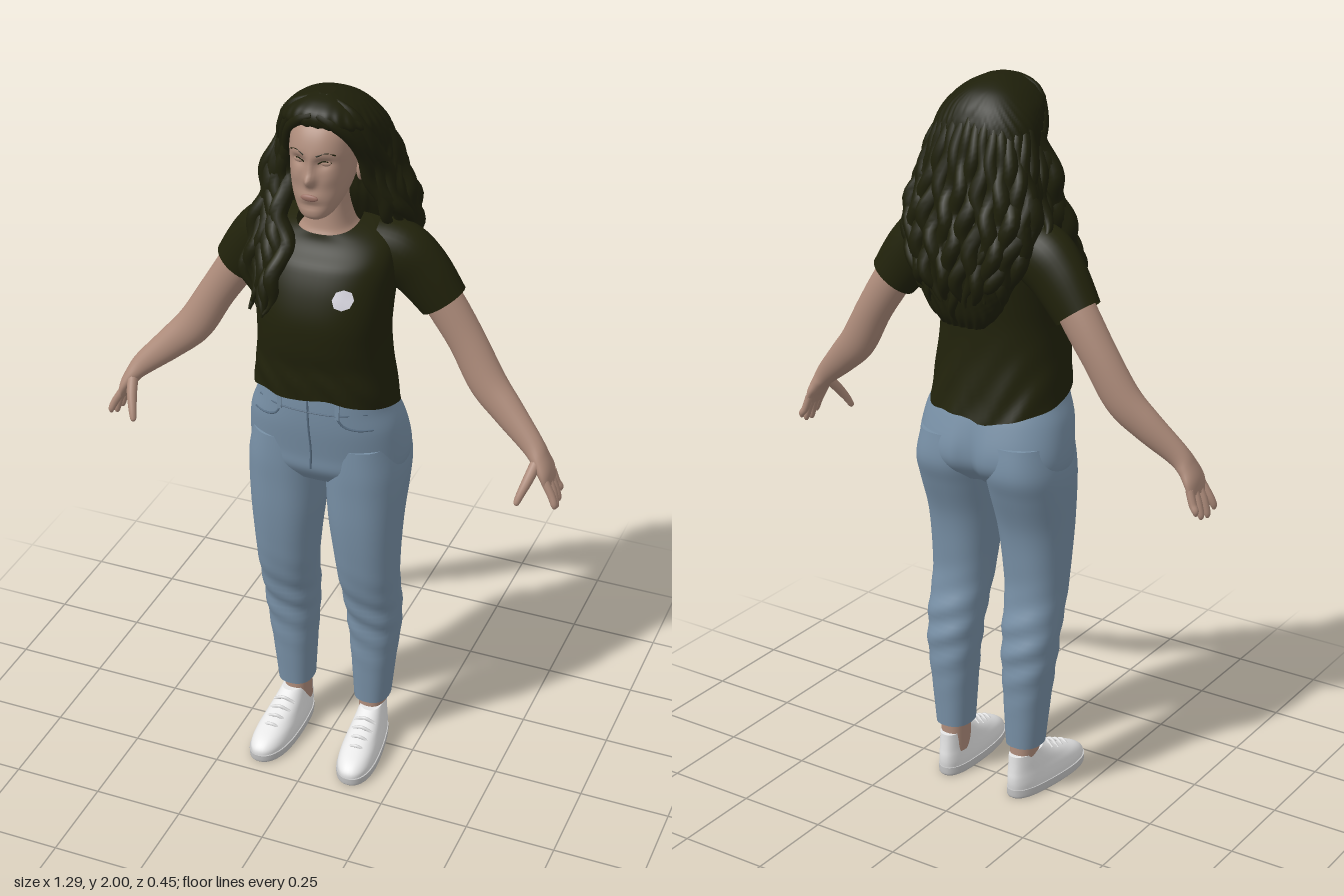
import * as THREE from 'three';

const mat = (name, color) => Object.assign(new THREE.MeshStandardMaterial({ color }), { name });
const M = {
  skin: mat('skin', 0xae8c7b), lips: mat('lips', 0x9a7064), hair: mat('hair', 0x1e1f0a),
  shirt: mat('shirt', 0x21220b), denim: mat('denim', 0x7890a6), seam: mat('denim seam', 0x596f84),
  shoe: mat('shoe white', 0xe6e6e6), sole: mat('sole', 0xc4c4c4), badge: mat('badge', 0xdcdae4),
};
const E = 0.85; // squareness of the body sections

// Catmull-Rom through every column of a row table
function dense(rows, k = 6) {
  const out = [], at = i => rows[Math.min(Math.max(i, 0), rows.length - 1)];
  for (let i = 0; i < rows.length - 1; i++)
    for (let j = 0; j < k; j++) {
      const t = j / k;
      out.push(rows[i].map((b, c) => {
        const a = at(i - 1)[c], d = at(i + 1)[c], f = at(i + 2)[c];
        return b + 0.5 * t * (d - a + t * (2 * a - 5 * b + 4 * d - f + t * (3 * (b - d) + f - a)));
      }));
    }
  out.push(rows[rows.length - 1]);
  return out;
}

// Skin over rows of [x, y, z, side radius, z radius]
function sweep(rows, { n = 16, e = 1, upright = false, caps = true, deform } = {}) {
  const pos = [], idx = [], m = rows.length, P = r => new THREE.Vector3(r[0], r[1], r[2]);
  const bend = (c, p) => Math.sign(c) * Math.abs(c) ** p;
  rows.forEach((r, i) => {
    const T = upright ? new THREE.Vector3(0, 1, 0)
      : P(rows[Math.min(i + 1, m - 1)]).sub(P(rows[Math.max(i - 1, 0)])).normalize();
    const B = new THREE.Vector3(0, 0, 1).addScaledVector(T, -T.z).normalize();
    const N = T.clone().cross(B);
    for (let j = 0; j < n; j++) {
      const a = j / n * Math.PI * 2;
      const p = P(r).addScaledVector(N, r[3] * bend(Math.cos(a), e)).addScaledVector(B, r[4] * bend(Math.sin(a), e));
      if (deform) deform(p);
      pos.push(p.x, p.y, p.z);
    }
  });
  for (let i = 0; i < m - 1; i++)
    for (let j = 0; j < n; j++) {
      const a = i * n + j, c = i * n + (j + 1) % n;
      idx.push(a, a + n, c, a + n, c + n, c);
    }
  if (caps) for (const end of [0, m - 1]) {
    const s = pos.length / 3, mid = [0, 0, 0];
    for (let j = 0; j < n; j++) for (let c = 0; c < 3; c++) {
      const v = pos[(end * n + j) * 3 + c];
      pos.push(v); mid[c] += v / n;
    }
    pos.push(...mid);
    for (let j = 0; j < n; j++) {
      const a = s + j, b = s + (j + 1) % n;
      end ? idx.push(s + n, b, a) : idx.push(s + n, a, b);
    }
  }
  const g = new THREE.BufferGeometry();
  g.setAttribute('position', new THREE.Float32BufferAttribute(pos, 3));
  g.setIndex(idx);
  g.computeVertexNormals();
  return g;
}
// Upright sections [y, centre x, back z, front z, half width], from low to high
const upright = (rows, s = 1) => dense(rows.map(([y, x, b, f, w]) => [x * s, y, (b + f) / 2, w, (f - b) / 2]));
const loft = (rows, o) => sweep(rows, { n: 48, e: E, upright: true, ...o });
const limb = (rows, s = 1, o) => sweep(dense(rows.map(r => [r[0] * s, ...r.slice(1)])), o);
const rowAt = (rows, y) => rows.find(r => r[1] >= y) || rows[rows.length - 1];
function frontZ(rows, x, y) {
  const r = rowAt(rows, y), c = Math.min(1, (Math.abs(x) / r[3]) ** (1 / E));
  return r[2] + r[4] * Math.sqrt(1 - c * c) ** E;
}
const bump = (x, y, sx, sy) => Math.exp(-((x / sx) ** 2) - (y / sy) ** 2);
const fade = THREE.MathUtils.smoothstep;

export function createModel() {
  const root = new THREE.Group();
  const add = (name, geo, m) => {
    const o = new THREE.Mesh(geo, m);
    o.name = name; root.add(o);
    return o;
  };
  const ball = (name, m, p, s) => {
    const o = add(name, new THREE.SphereGeometry(1, 20, 14), m);
    o.position.set(...p); o.scale.set(...s);
  };
  const line = (name, m, pts, r) => add(name, new THREE.TubeGeometry(
    new THREE.CatmullRomCurve3(pts.map(p => new THREE.Vector3(...p))), 16, r, 6), m);

  // Head and neck
  const head = upright([[1.695, 0, .07, .122, .02], [1.71, 0, .03, .138, .042], [1.75, 0, -.01, .14, .064],
    [1.79, 0, -.04, .137, .076], [1.84, 0, -.07, .138, .082], [1.88, 0, -.08, .14, .083],
    [1.93, 0, -.07, .118, .076], [1.97, 0, -.03, .07, .04]]);
  add('head', loft(head, { n: 96, deform: p => {
    if (p.z < 0.05) return;
    const x = Math.abs(p.x);
    p.z += .024 * bump(x, p.y - 1.808, .013, .016) + .012 * bump(x, p.y - 1.835, .009, .026)
      - .013 * bump(x - .033, p.y - 1.853, .02, .013) + .006 * bump(x, p.y - 1.762, .025, .013)
      - .005 * bump(x, p.y - 1.738, .03, .008) + .004 * bump(x - .045, p.y - 1.81, .02, .02);
  } }), M.skin);
  add('neck', loft(upright([[1.56, 0, -.08, .07, .08], [1.62, 0, -.07, .085, .08], [1.65, 0, -.06, .075, .062],
    [1.7, 0, -.05, .068, .052], [1.76, 0, -.05, .06, .05]])), M.skin);
  ball('lips', M.lips, [0, 1.762, frontZ(head, 0, 1.762) + .004], [.023, .009, .006]);
  for (const s of [1, -1]) {
    const f = (x, y, d) => [s * x, y, frontZ(head, x, y) + d];
    ball('ear', M.skin, [s * .084, 1.803, .012], [.011, .033, .019]);
    ball('eye', M.skin, f(.033, 1.852, -.013), [.016, .008, .007]);
    line('lashLine', M.hair, [f(.018, 1.851, -.007), f(.033, 1.859, -.006), f(.049, 1.853, -.006)], .0016);
    line('brow', M.hair, [f(.016, 1.873, -.001), f(.038, 1.881, -.001), f(.058, 1.874, -.001)], .0028);
  }

  // T-shirt: the hem drops at the back and the neckline at the front
  const shirt = upright([[1.15, 0, -.128, .172, .192], [1.2, 0, -.115, .177, .188], [1.28, 0, -.102, .18, .178],
    [1.36, 0, -.1, .19, .172], [1.43, 0, -.105, .19, .175], [1.5, 0, -.112, .172, .18], [1.56, 0, -.115, .145, .182],
    [1.61, 0, -.11, .112, .17], [1.64, 0, -.095, .095, .135], [1.66, 0, -.075, .088, .082]]);
  M.shirt.side = THREE.DoubleSide;
  add('shirtBody', loft(shirt, { n: 64, caps: false, deform: p => {
    const low = 1 - fade(p.y, 1.15, 1.36), high = fade(p.y, 1.56, 1.66);
    p.z += low * .004 * Math.sin(p.x * 70 + p.y * 50);
    p.y += low * (.3 * p.z + .006 * Math.sin(p.x * 32)) - high * .25 * p.z;
  } }), M.shirt);
  const patch = new THREE.CircleGeometry(.026, 8).translate(.095, 1.505, 0), pp = patch.attributes.position;
  for (let i = 0; i < pp.count; i++) pp.setZ(i, frontZ(shirt, pp.getX(i), pp.getY(i)) + .006);
  patch.computeVertexNormals();
  add('chestBadge', patch, M.badge);

  // Jeans
  const hips = upright([[.925, 0, -.09, .11, .19], [.97, 0, -.135, .14, .213], [1.02, 0, -.143, .147, .218],
    [1.1, 0, -.122, .16, .207], [1.16, 0, -.1, .165, .184], [1.21, 0, -.085, .165, .172]]);
  add('jeansHips', loft(hips, { n: 64, deform: p => {
    if (p.z < 0) p.z += .022 * bump(p.x, p.y - .98, .025, .09);
  } }), M.denim);
  const onHips = ([x, y]) => [x, y, frontZ(hips, x, y) + .001];
  line('fly', M.seam, [[0, 1.2], [.002, 1.12], [.004, 1.04], [0, .98]].map(onHips), .003);
  line('waistSeam', M.seam, [-.15, -.08, 0, .08, .15].map(x => onHips([x, 1.165])), .0025);

  for (const s of [1, -1]) {
    line('pocketSeam', M.seam, [[s * .075, 1.165], [s * .095, 1.135], [s * .13, 1.122], [s * .165, 1.12]].map(onHips), .003);
    add('beltLoop', new THREE.BoxGeometry(.012, .05, .008), M.denim).position.set(...onHips([s * .08, 1.18]));
    add('jeansLeg', loft(upright([[.155, .116, -.085, .03, .05], [.28, .119, -.092, .04, .06], [.4, .122, -.095, .05, .072],
      [.5, .121, -.085, .07, .078], [.6, .118, -.063, .1, .083], [.7, .115, -.066, .118, .09], [.8, .112, -.08, .13, .099],
      [.9, .111, -.115, .136, .106], [.97, .11, -.138, .14, .106], [1.05, .105, -.13, .14, .095]], s), { deform: p => {
      p.z += .005 * bump(p.y - .45, 0, .12, 1) * Math.sin(p.y * 75 + p.x * 30);
    } }), M.denim);

    // Ankle and shoe, wider at the toe and turned slightly out
    add('ankle', loft(upright([[.07, .114, -.078, .015, .036], [.2, .115, -.074, .012, .036]], s)), M.skin);
    const toe = p => { p.x = s * (.12 + .07 * p.z) + (p.x - s * .13) * Math.min(1, .84 + .9 * Math.max(p.z, 0)); };
    add('shoeUpper', loft(upright([[.02, .13, -.09, .214, .057], [.04, .13, -.094, .212, .058], [.06, .13, -.095, .188, .055],
      [.08, .13, -.093, .14, .05], [.105, .13, -.091, .075, .044], [.128, .13, -.09, .03, .038]], s), { deform: toe }), M.shoe);
    add('shoeSole', loft(upright([[0, .13, -.09, .21, .057], [.006, .13, -.094, .217, .061],
      [.026, .13, -.095, .219, .061]], s), { deform: toe }), M.sole);
    for (let i = 0; i < 4; i++) {
      const z = .055 + i * .027, y = .118 - i * .0125, x = s * (.12 + .07 * z);
      line('lace', M.shoe, [[x - .03, y - .014, z - .004], [x, y + .003, z + .003], [x + .03, y - .014, z - .004]], .005);
    }

    // Sleeve and arm
    add('sleeve', limb([[.1, 1.59, -.025, .07, .07], [.17, 1.562, -.04, .085, .074], [.225, 1.515, -.05, .08, .064],
      [.284, 1.437, -.058, .068, .054]], s, { n: 32, caps: false }), M.shirt);
    add('arm', limb([[.22, 1.53, -.05, .05, .046], [.285, 1.435, -.058, .053, .047], [.35, 1.335, -.058, .05, .044],
      [.412, 1.232, -.048, .051, .042], [.475, 1.168, -.032, .044, .036], [.55, 1.1, -.008, .032, .029],
      [.578, 1.067, 0, .024, .036], [.597, 1.035, .002, .019, .044], [.608, 1.002, 0, .011, .042]], s, { n: 28 }), M.skin);

    // Fingers, front to back, then the thumb
    [[.033, .042, .95], [.011, .014, .936], [-.011, -.014, .94], [-.031, -.038, .957]].forEach(([z0, z1, y], i) => {
      const x = .634 - i * .003;
      add('finger', limb([[.603, 1.02, z0, .011, .011], [x - .01, .985, (z0 + z1) / 2, .0105, .0105],
        [x, y + .012, z1, .009, .009], [x + .001, y, z1, .004, .004]], s, { n: 10 }), M.skin);
    });
    add('thumb', limb([[.575, 1.065, .02, .015, .016], [.565, 1.03, .05, .014, .014], [.553, .995, .074, .011, .011],
      [.546, .972, .086, .008, .008], [.544, .967, .089, .003, .003]], s, { n: 10 }), M.skin);
  }

  // Hair: one ridged mass, then wavy locks laid over it
  const hair = upright([[1.38, 0, -.17, -.13, .06], [1.42, 0, -.19, -.1, .1], [1.5, 0, -.205, -.08, .14],
    [1.58, 0, -.207, -.06, .165], [1.65, 0, -.19, -.025, .188], [1.72, 0, -.17, .005, .178], [1.78, 0, -.155, .012, .16],
    [1.84, 0, -.142, .03, .148], [1.88, 0, -.135, .06, .143], [1.91, 0, -.126, .085, .134], [1.94, 0, -.11, .115, .118],
    [1.97, 0, -.08, .112, .088], [1.99, 0, -.04, .085, .052], [2, 0, 0, .05, .02]]);
  add('hairMass', loft(hair, { n: 128, deform: p => {
    const a = Math.atan2(p.z + .05, p.x), f = 1 + .02 * (1 - fade(p.y, 1.9, 2)) * Math.sin(36 * a + 4 * Math.sin(p.y * 28));
    p.x *= f; p.z = (p.z + .05) * f - .05;
  } }), M.hair);
  const lock = (name, rows, phase) => add(name, sweep(dense(rows, 8).map(([x, y, z, a, b]) => {
    const w = .009 * (1 - fade(y, 1.65, 1.95));
    return [x + w * Math.sin(y * 48 + phase), y, z + w * Math.cos(y * 41 + phase * 1.7), a, b];
  }), { n: 10 }), M.hair);

  for (let i = 0; i < 17; i++) { // back
    const a = Math.PI * (.04 + .92 * i / 16), end = 1.37 + .05 * Math.abs(Math.sin(i * 2.3)) + .09 * Math.abs(Math.cos(a));
    const radii = [.008, .018, .023, .024, .02, .004];
    lock('backLock', [1.95, 1.86, 1.75, 1.64, 1.52, end].map((y, k) => {
      const r = rowAt(hair, y), q = 1 - .01 / r[3];
      return [r[0] + r[3] * q * Math.cos(a), y, r[2] - r[4] * q * Math.sin(a), radii[k], radii[k]];
    }), i * 1.9);
  }
  for (const s of [1, -1]) // strands parted at the forehead
    for (let i = 0; i < 3; i++) {
      const o = i * .014;
      lock('partingLock', [[s * .006, 1.965 + o, .108 - i * .03, .008, .008], [s * (.05 + o), 1.942 + o * .7, .1 - i * .02, .014, .014],
        [s * (.088 + o), 1.885, .058 - o, .018, .02], [s * (.105 + o), 1.8, .012 - o, .02, .02],
        [s * (.135 + o), 1.7, -.005 - o, .02, .02], [s * (.165 + o), 1.62, -.05 - o, .006, .006]], i + s);
    }
  for (let i = 0; i < 7; i++) { // locks falling over the right shoulder
    const x = -.085 - i * .017, c = .015 * Math.sin(i * 2.1);
    lock('shoulderLock', [[-.1 - i * .005, 1.87, .04 - i * .008, .012, .012], [x * .5 - .07, 1.76, .02, .022, .022],
      [x * .6 - .055, 1.68, .065 - i * .006, .023, .023], [x, 1.6, .118 - i * .009, .022, .022],
      [x - .005, 1.52, .158 - i * .013, .02, .019], [x * .6 - .06, 1.43 + c, .178 - i * .01, .004, .004]], i * 1.3);
  }
  return root;
}
